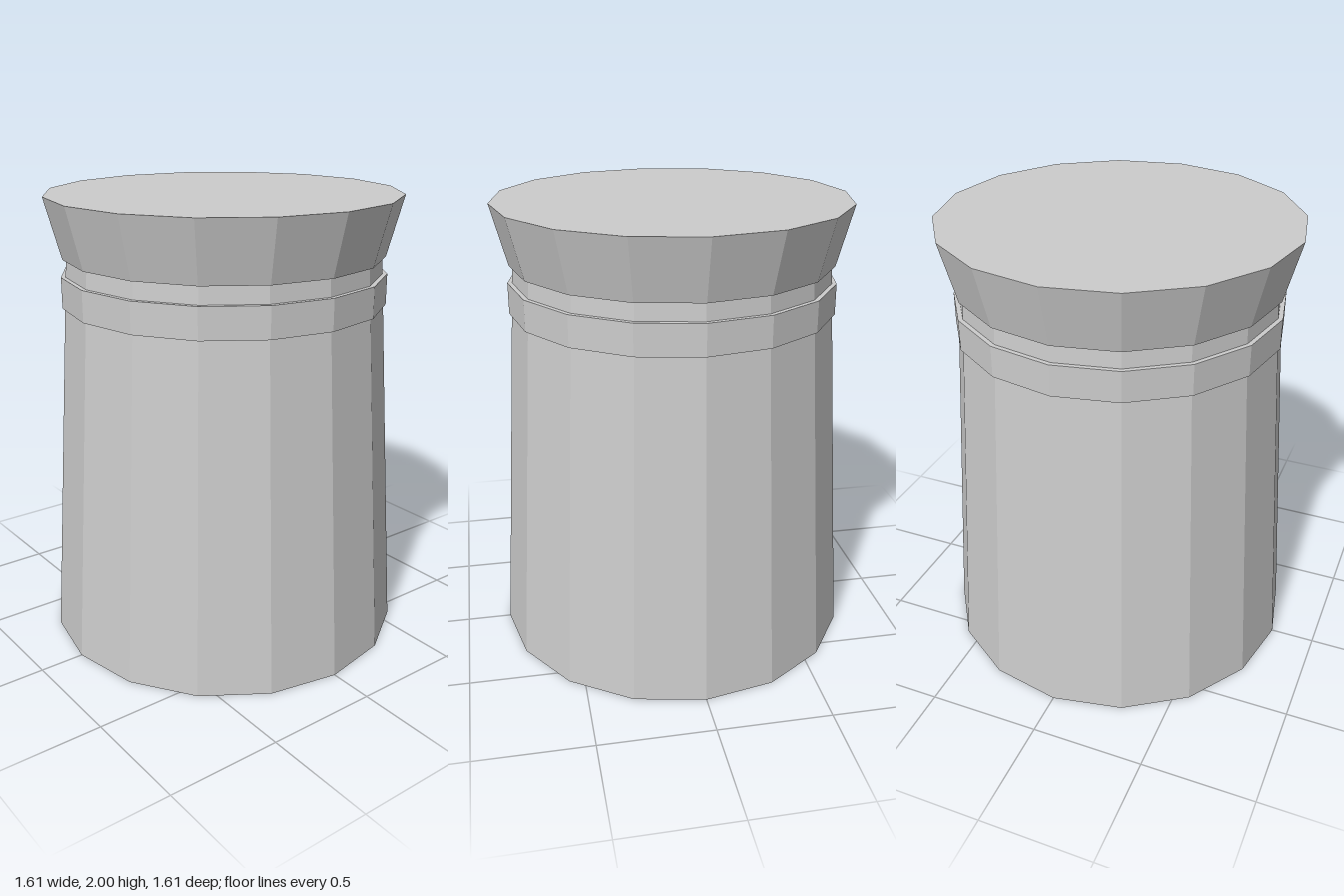
import * as THREE from 'three';

const SIDES = 16;

export function createModel() {
  const model = new THREE.Group();
  model.name = 'column';

  const stone = new THREE.MeshStandardMaterial({ color: 0xcccccc, flatShading: true });
  stone.name = 'light grey stone';

  // Faceted, capped drum between two heights
  const addDrum = (name, bottomRadius, topRadius, bottomY, topY) => {
    const height = topY - bottomY;
    const drum = new THREE.Mesh(
      new THREE.CylinderGeometry(topRadius, bottomRadius, height, SIDES), stone);
    drum.name = name;
    drum.position.y = bottomY + height / 2;
    model.add(drum);
  };

  addDrum('shaft', 0.803, 0.69, 0, 1.735);       // tapered, runs up through the band as the neck
  addDrum('band', 0.715, 0.715, 1.525, 1.66);    // raised ring
  addDrum('capital', 0.705, 0.775, 1.735, 2);    // flared top

  return model;
}
